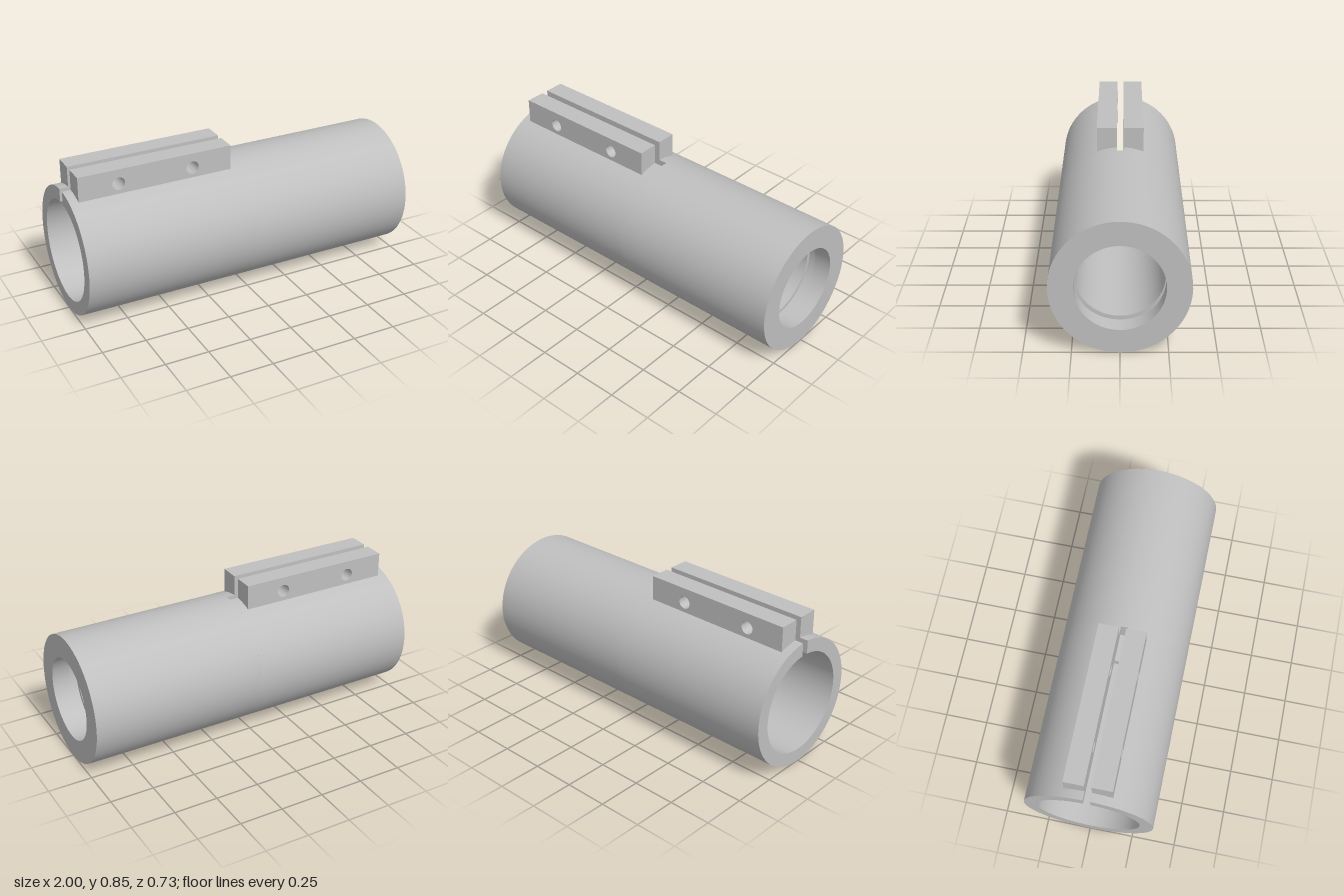
import * as THREE from 'three';
import { toCreasedNormals } from 'three/addons/utils/BufferGeometryUtils.js';

const R = 0.367;      // outer radius, also the height of the axis
const WIDE = 0.29;    // bore of the slotted half
const NARROW = 0.236; // bore of the plain half
const GAP = 0.02;     // half width of the slot
const CREASE = Math.PI / 6;

export function createModel() {
  const model = new THREE.Group();
  model.name = 'clampTube';
  const metal = new THREE.MeshStandardMaterial({ color: 0xbfbfbf });
  metal.name = 'grey metal';

  function add(geometry, name) {
    const mesh = new THREE.Mesh(toCreasedNormals(geometry, CREASE), metal);
    mesh.name = name;
    model.add(mesh);
    return mesh;
  }

  // Slotted half: C-shaped section run along x from -1 to 0
  const top = Math.PI / 2, turn = Math.PI * 2;
  const outerCut = Math.asin(GAP / R), innerCut = Math.asin(GAP / WIDE);
  const section = new THREE.Shape();
  section.absarc(0, 0, R, top + outerCut, top + turn - outerCut, false);
  section.absarc(0, 0, WIDE, top + turn - innerCut, top + innerCut, true);
  section.closePath();
  const slotted = new THREE.ExtrudeGeometry(section, { depth: 1, bevelEnabled: false, curveSegments: 96 });
  slotted.rotateY(Math.PI / 2).translate(-1, R, 0);
  add(slotted, 'slottedTube');

  // Plain half: narrower bore with a retaining groove near the open end
  const profile = [
    [R, 0], [R, 1], [NARROW, 1], [NARROW, 0.9], [0.258, 0.9],
    [0.258, 0.85], [NARROW, 0.85], [NARROW, 0], [R, 0],
  ].map(([r, x]) => new THREE.Vector2(r, x));
  const plain = new THREE.LatheGeometry(profile, 96);
  plain.rotateZ(-Math.PI / 2).translate(0, R, 0);
  add(plain, 'plainTube');

  // Clamp ears: one bar on each side of the slot, with two bolt holes
  const bar = new THREE.Shape();
  bar.moveTo(-0.95, 0.709);
  bar.lineTo(-0.05, 0.709);
  bar.lineTo(-0.05, 0.852);
  bar.lineTo(-0.95, 0.852);
  bar.closePath();
  for (const x of [-0.72, -0.284]) {
    const hole = new THREE.Path();
    hole.absarc(x, 0.768, 0.037, 0, turn, true);
    bar.holes.push(hole);
  }
  const earDepth = 0.114;
  for (const [name, z] of [['frontClampEar', GAP], ['backClampEar', -GAP - earDepth]]) {
    const ear = new THREE.ExtrudeGeometry(bar, { depth: earDepth, bevelEnabled: false, curveSegments: 32 });
    add(ear.translate(0, 0, z), name);
  }

  return model;
}
